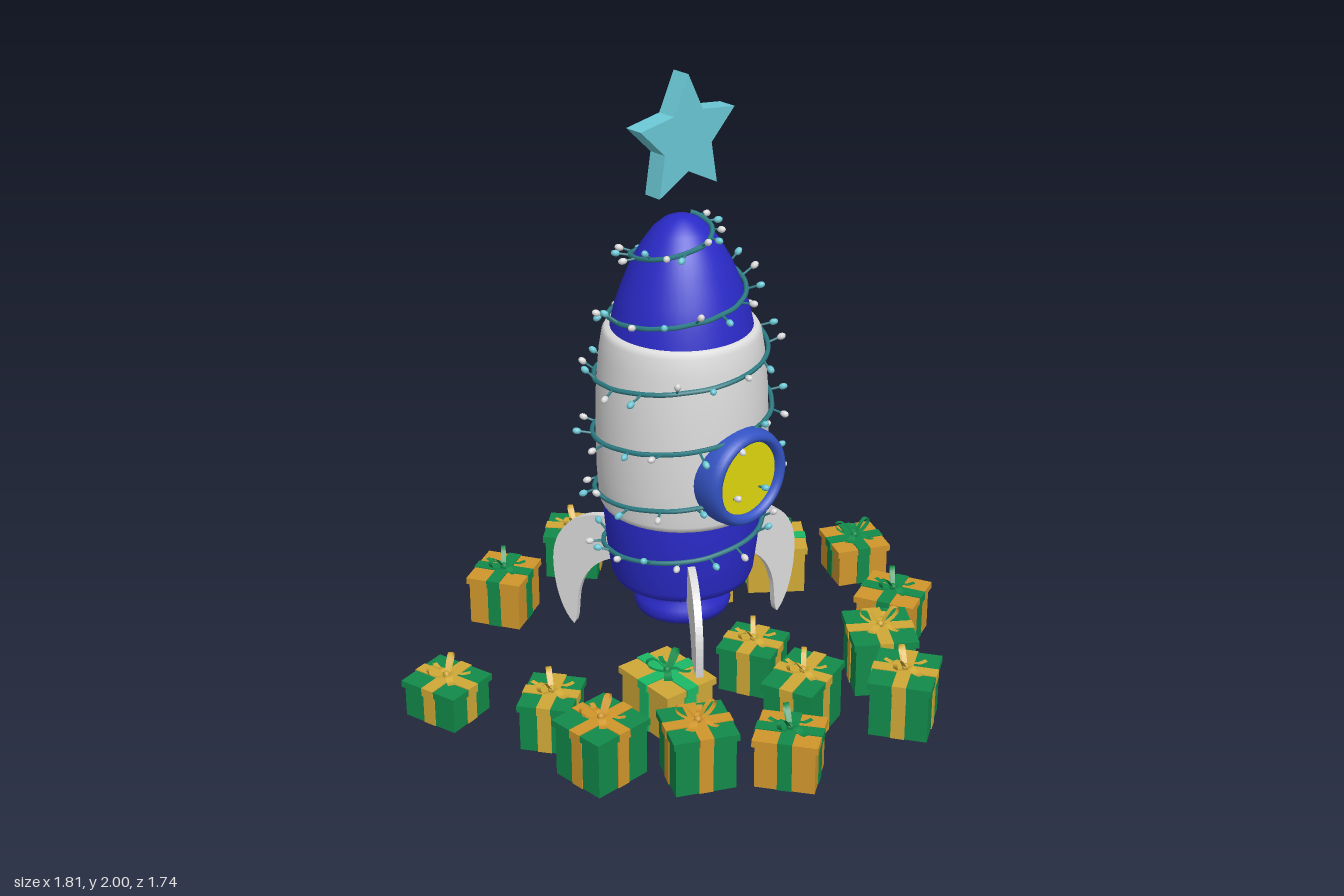
import * as THREE from 'three';
import { mergeGeometries } from 'three/addons/utils/BufferGeometryUtils.js';

const mat = (name, color, side = THREE.FrontSide) => {
  const m = new THREE.MeshStandardMaterial({ color, side });
  m.name = name;
  return m;
};
const M = {
  blue: mat('deep blue', 0x2a2ac8),
  white: mat('light grey', 0xdcdcdc),
  rim: mat('window blue', 0x3454c4),
  yellow: mat('yellow', 0xe0d80f),
  teal: mat('pale teal', 0x6ac8d5),
  wire: mat('dark teal', 0x2f8088),
  green: mat('green', 0x128a4a, THREE.DoubleSide),
  mint: mat('bright green', 0x1cb866, THREE.DoubleSide),
  gold: mat('gold', 0xcfa836, THREE.DoubleSide),
  orange: mat('orange', 0xd0962c, THREE.DoubleSide),
};
const V2 = (p) => p.map(([x, y]) => new THREE.Vector2(x, y));

function add(parent, name, geometry, material, x = 0, y = 0, z = 0) {
  const m = new THREE.Mesh(geometry, material);
  m.name = name;
  m.position.set(x, y, z);
  parent.add(m);
  return m;
}

let seed = 7;
const rnd = () => (seed = (seed * 16807) % 2147483647) / 2147483647;

// Hull profiles: radius, height
const NOZZLE = [[0, 0.205], [0.13, 0.205], [0.15, 0.215], [0.157, 0.235], [0.153, 0.26], [0.14, 0.275], [0.138, 0.3], [0.15, 0.33]];
const LOWER = [[0.12, 0.322], [0.2, 0.325], [0.22, 0.335], [0.23, 0.36], [0.242, 0.45], [0.255, 0.6], [0.24, 0.602]];
const MIDDLE = [[0.24, 0.6], [0.258, 0.602], [0.265, 0.62], [0.271, 0.72], [0.273, 0.85], [0.269, 1.0], [0.258, 1.12], [0.248, 1.18], [0.238, 1.197], [0.215, 1.2]];
const NOSE = [[0.224, 1.195], [0.21, 1.26], [0.19, 1.32], [0.158, 1.4], [0.125, 1.46], [0.09, 1.51], [0.055, 1.54], [0.025, 1.553], [0, 1.556]];
const HULL = [...LOWER.slice(2, 6), ...MIDDLE.slice(2, 8), ...NOSE];

function hullRadius(y) {
  for (let i = 1; i < HULL.length; i++) {
    const [r0, y0] = HULL[i - 1], [r1, y1] = HULL[i];
    if (y <= y1) return r0 + ((r1 - r0) * (y - y0)) / (y1 - y0);
  }
  return 0;
}

// Point on the spiral that climbs the hull
function spiral(y, offset) {
  const a = Math.PI / 2 - (2 * Math.PI * (y - 0.52)) / 0.195;
  const r = hullRadius(y) + offset;
  return new THREE.Vector3(r * Math.cos(a), y, r * Math.sin(a));
}

function buildGarland(parent) {
  const pts = [];
  for (let i = 0; i <= 160; i++) pts.push(spiral(0.42 + (1.13 * i) / 160, 0.008 + 0.006 * rnd()));
  add(parent, 'garlandWire', new THREE.TubeGeometry(new THREE.CatmullRomCurve3(pts), 480, 0.008, 5), M.wire);

  // Small lights on short stems
  const stems = [], bulbs = [[], []];
  const up = new THREE.Vector3(0, 1, 0);
  for (let i = 0; i < 92; i++) {
    const p = spiral(0.42 + 1.12 * Math.pow(i / 91, 1.05), 0.01);
    const dir = new THREE.Vector3(p.x, 0, p.z).normalize();
    dir.add(new THREE.Vector3(rnd() - 0.5, 1.6 * (rnd() - 0.4), rnd() - 0.5)).normalize();
    const len = 0.025 + 0.02 * rnd();
    const q = new THREE.Quaternion().setFromUnitVectors(up, dir);
    const place = (g, d) => g.applyQuaternion(q).translate(p.x + dir.x * d, p.y + dir.y * d, p.z + dir.z * d);
    stems.push(place(new THREE.CylinderGeometry(0.004, 0.004, len, 5), len / 2));
    bulbs[i % 2].push(place(new THREE.SphereGeometry(0.011, 8, 6).scale(1, 1.3, 1), len + 0.008));
  }
  add(parent, 'garlandStems', mergeGeometries(stems), M.wire);
  add(parent, 'tealLights', mergeGeometries(bulbs[0]), M.teal);
  add(parent, 'whiteLights', mergeGeometries(bulbs[1]), M.white);
}

function buildRocket() {
  const g = new THREE.Group();
  g.name = 'rocket';
  g.position.set(-0.015, 0, -0.045);
  const lathe = (p) => new THREE.LatheGeometry(V2(p), 48);
  add(g, 'nozzle', lathe(NOZZLE), M.blue);
  add(g, 'lowerHull', lathe(LOWER), M.blue);
  add(g, 'middleHull', lathe(MIDDLE), M.white);
  add(g, 'noseCone', lathe(NOSE), M.blue);

  // Round window
  const rim = [[0.15, 0.17], [0.157, 0.22], [0.16, 0.26], [0.158, 0.29], [0.15, 0.312], [0.137, 0.32], [0.125, 0.314], [0.12, 0.3], [0.119, 0.28]];
  add(g, 'windowRim', lathe(rim).rotateX(Math.PI / 2), M.rim, 0, 0.77, 0);
  add(g, 'windowGlass', new THREE.CircleGeometry(0.122, 48), M.yellow, 0, 0.77, 0.295);

  // Three curved fins
  const s = new THREE.Shape();
  s.moveTo(0.2, 0.47);
  s.lineTo(0.26, 0.475);
  s.bezierCurveTo(0.37, 0.475, 0.46, 0.4, 0.462, 0.28);
  s.bezierCurveTo(0.462, 0.17, 0.43, 0.08, 0.39, 0.045);
  s.bezierCurveTo(0.375, 0.06, 0.38, 0.12, 0.37, 0.17);
  s.bezierCurveTo(0.35, 0.26, 0.29, 0.32, 0.2, 0.335);
  const fin = new THREE.ExtrudeGeometry(s, { depth: 0.024, bevelEnabled: false, curveSegments: 14 }).translate(0, 0, -0.012);
  for (let i = 0; i < 3; i++) add(g, 'fin', fin, M.white).rotation.y = -0.11 - (i * 2 * Math.PI) / 3;

  buildGarland(g);

  // Floating star
  const star = [];
  for (let i = 0; i < 10; i++) {
    const a = Math.PI / 2 + (i * Math.PI) / 5, r = i % 2 ? 0.1 : 0.2;
    star.push([r * Math.cos(a), r * Math.sin(a)]);
  }
  add(g, 'star', new THREE.ExtrudeGeometry(new THREE.Shape(V2(star)), { depth: 0.064, bevelEnabled: false }), M.teal, 0, 1.8, -0.032);
  return g;
}

// Thin band that follows a curve in the xy plane
function band(points, width) {
  const n = 12;
  const c = new THREE.CatmullRomCurve3(points.map(([x, y]) => new THREE.Vector3(x, y, 0)));
  const geo = new THREE.PlaneGeometry(1, 1, n, 1);
  const p = geo.attributes.position;
  for (let i = 0; i < p.count; i++) {
    const q = c.getPoint(THREE.MathUtils.clamp(p.getX(i) + 0.5, 0, 1));
    p.setXYZ(i, q.x, q.y, p.getY(i) * width);
  }
  geo.computeVertexNormals();
  return geo;
}

function bowGeometry() {
  const loop = [[0, 0], [0.02, 0.03], [0.045, 0.055], [0.066, 0.05], [0.062, 0.03], [0.03, 0.01], [0, 0]];
  const tail = [[0, 0.004], [0.025, 0.016], [0.05, 0.008], [0.075, 0.012]];
  const parts = [new THREE.SphereGeometry(0.012, 8, 6).translate(0, 0.008, 0)];
  for (const a of [0.4, 2.8]) parts.push(band(loop, 0.016).rotateY(a));
  for (const a of [-0.9, -2.1, 1.2, 4.0]) parts.push(band(tail, 0.016).rotateY(a));
  return mergeGeometries(parts);
}
const BOW = bowGeometry();

// Wrapped box with lid, crossed ribbons and bow
function buildPresent(x, z, w, d, y0, y1, deg, box, ribbon) {
  const g = new THREE.Group();
  g.name = 'present';
  g.position.set(x, y0, z);
  g.rotation.y = THREE.MathUtils.degToRad(deg);
  const h = y1 - y0, lid = 0.022, bw = w * 0.92, bd = d * 0.92, rw = 0.044, e = 0.006;
  const block = (name, a, b, c, y, m) => add(g, name, new THREE.BoxGeometry(a, b, c), m, 0, y, 0);
  block('box', bw, h - lid, bd, (h - lid) / 2, box);
  block('lid', w, lid, d, h - lid / 2, box);
  block('ribbon', rw, h - lid, bd + e, (h - lid) / 2, ribbon);
  block('ribbon', bw + e, h - lid, rw, (h - lid) / 2, ribbon);
  block('lidRibbon', rw, lid + e, d + e, h - lid / 2, ribbon);
  block('lidRibbon', w + e, lid + e, rw, h - lid / 2, ribbon);
  add(g, 'bow', BOW, ribbon === M.mint ? M.green : ribbon, 0, h + 0.002, 0);
  return g;
}

export function createModel() {
  const root = new THREE.Group();
  root.name = 'rocketWithPresents';
  root.add(buildRocket());
  const { green: G, mint: T, gold: Y, orange: O } = M;
  // x, z, width, depth, bottom, top, turn, wrapping, ribbon
  const presents = [
    [-0.29, -0.63, 0.2, 0.19, 0.03, 0.2, 29, O, G],
    [0.115, -0.74, 0.185, 0.195, 0.01, 0.17, 41, G, Y],
    [0.295, -0.55, 0.18, 0.19, 0.03, 0.165, 0, Y, T],
    [0.295, -0.28, 0.185, 0.19, 0.02, 0.235, -26, Y, T],
    [0.535, -0.17, 0.21, 0.2, 0.03, 0.2, -39, Y, T],
    [0.78, -0.02, 0.19, 0.19, 0.03, 0.165, -25, O, G],
    [-0.79, -0.3, 0.19, 0.21, 0.01, 0.135, 13, G, Y],
    [-0.64, 0.035, 0.2, 0.17, 0.01, 0.17, 35, G, Y],
    [-0.66, 0.29, 0.215, 0.205, 0.01, 0.2, 2, G, O],
    [-0.335, 0.23, 0.195, 0.245, 0.03, 0.2, -4, Y, T],
    [0.035, 0.235, 0.18, 0.185, 0.01, 0.165, 24, G, Y],
    [-0.46, 0.5, 0.205, 0.2, 0.01, 0.2, -27, G, O],
    [-0.035, 0.525, 0.245, 0.175, 0.01, 0.205, 19, G, Y],
    [-0.28, 0.71, 0.175, 0.2, 0.03, 0.195, 34, O, G],
    [0.22, 0.72, 0.22, 0.2, 0.005, 0.195, 32, G, Y],
    [0.35, 0.495, 0.21, 0.225, 0.01, 0.2, -36, G, Y],
    [0.565, 0.355, 0.195, 0.205, 0.03, 0.195, 23, O, G],
  ];
  for (const p of presents) root.add(buildPresent(...p));
  return root;
}
